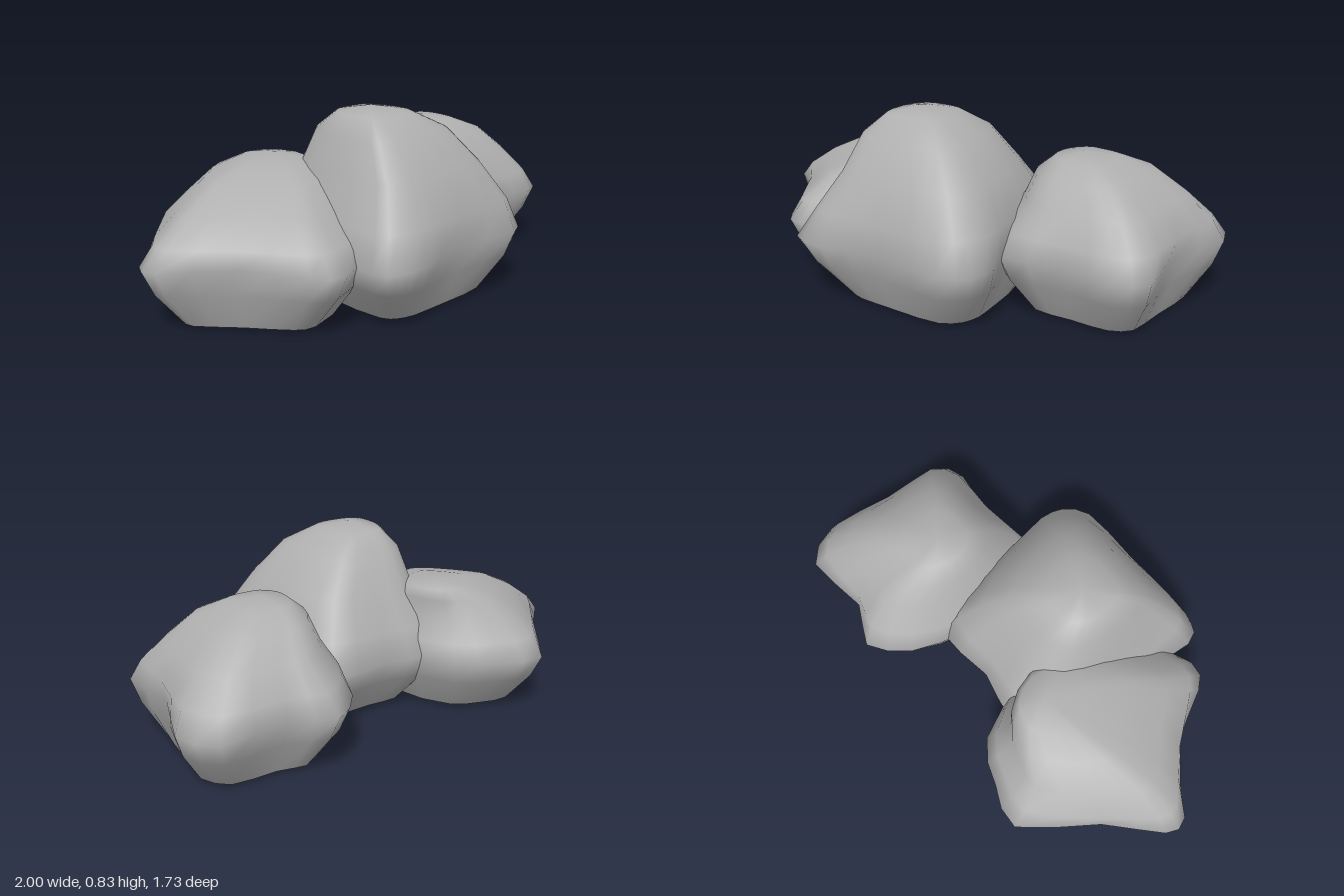
import * as THREE from 'three';

const stone = new THREE.MeshStandardMaterial({ color: 0xb0b0b0 });
stone.name = 'grey stone';

const WAIST = 0.28; // height of the widest outline

// Skin of stacked outlines, closed by an apex above and a flat base below.
// The outline (x, z) runs counterclockwise as seen from above.
function makeRock(name, center, apex, outline) {
  const middle = new THREE.Vector3(center[0], 0, center[1]);
  const peak = new THREE.Vector3(...apex);
  const lean = peak.clone().sub(middle).setY(0);
  const n = outline.length * 2;
  const curve = new THREE.CatmullRomCurve3(
    outline.map(([x, z]) => new THREE.Vector3(x, 0, z)), true, 'catmullrom', 0.4);
  const rim = Array.from({ length: n }, (_, i) => curve.getPoint(i / n).sub(middle));
  const fullRadius = 1.08 * rim.reduce((sum, p) => sum + p.length(), 0) / n;

  // Levels: height, scale, roundness, shift. Away from the waist the lobes
  // fade into a rounder form, and the crown leans towards the apex.
  const rise = peak.y - WAIST;
  const levels = [[0.01, 0.68, 0.4, 0], [0.17, 0.91, 0.15, 0], [WAIST, 1, 0, 0]];
  for (const [t, s] of [[0.24, 0.89], [0.53, 0.69], [0.81, 0.5], [0.95, 0.28]]) {
    levels.push([WAIST + t * rise, s, 0.65 * Math.sqrt(t), t ** 3]);
  }
  const positions = [];
  const index = [];
  const addRing = ([y, s, roundness, shift]) => {
    for (const p of rim) {
      const radius = s * THREE.MathUtils.lerp(p.length(), fullRadius, roundness);
      const q = p.clone().setLength(radius).add(middle).addScaledVector(lean, shift);
      positions.push(q.x, y, q.z);
    }
  };
  levels.forEach(addRing);

  // Sides
  for (let r = 0; r < levels.length - 1; r++) {
    for (let i = 0; i < n; i++) {
      const a = r * n + i;
      const b = r * n + (i + 1) % n;
      index.push(a, b, b + n, a, b + n, a + n);
    }
  }
  // Crown
  const last = (levels.length - 1) * n;
  const top = last + n;
  positions.push(...apex);
  for (let i = 0; i < n; i++) index.push(last + i, last + (i + 1) % n, top);

  // Base, with its own corners so that its edge stays sharp
  const base = top + 1;
  addRing(levels[0]);
  positions.push(middle.x, 0, middle.z);
  for (let i = 0; i < n; i++) index.push(base + (i + 1) % n, base + i, base + n);

  const geometry = new THREE.BufferGeometry();
  geometry.setAttribute('position', new THREE.Float32BufferAttribute(positions, 3));
  geometry.setIndex(index);
  geometry.computeVertexNormals();
  const mesh = new THREE.Mesh(geometry, stone);
  mesh.name = name;
  return mesh;
}

export function createModel() {
  const group = new THREE.Group();
  group.name = 'rockCluster';
  group.add(
    makeRock('tallRock', [0.12, 0.27], [-0.01, 0.83, 0.3], [
      [0.64, 0.37], [0.59, 0.25], [0.43, 0.1], [0.3, -0.12], [0.12, -0.32], [-0.13, -0.15],
      [-0.36, -0.08], [-0.45, 0.12], [-0.32, 0.42], [-0.16, 0.82], [-0.06, 0.86], [0.06, 0.81],
      [0.28, 0.62], [0.58, 0.5]]),
    makeRock('backRock', [0.52, -0.34], [0.42, 0.66, -0.26], [
      [0.58, -0.87], [0.33, -0.69], [0.12, -0.68], [0.05, -0.47], [0.1, -0.2], [0.24, 0.08],
      [0.5, 0.18], [0.7, 0.01], [0.93, -0.08], [1, -0.22], [0.82, -0.46], [0.76, -0.77]]),
    makeRock('lowRock', [-0.5, 0.3], [-0.38, 0.6, 0.07], [
      [-0.95, 0.6], [-0.64, 0.64], [-0.39, 0.81], [-0.25, 0.81], [-0.02, 0.45], [-0.12, 0.08],
      [-0.43, -0.2], [-0.65, -0.2], [-0.85, -0.15], [-0.91, 0.23], [-1, 0.5]]),
  );
  return group;
}
